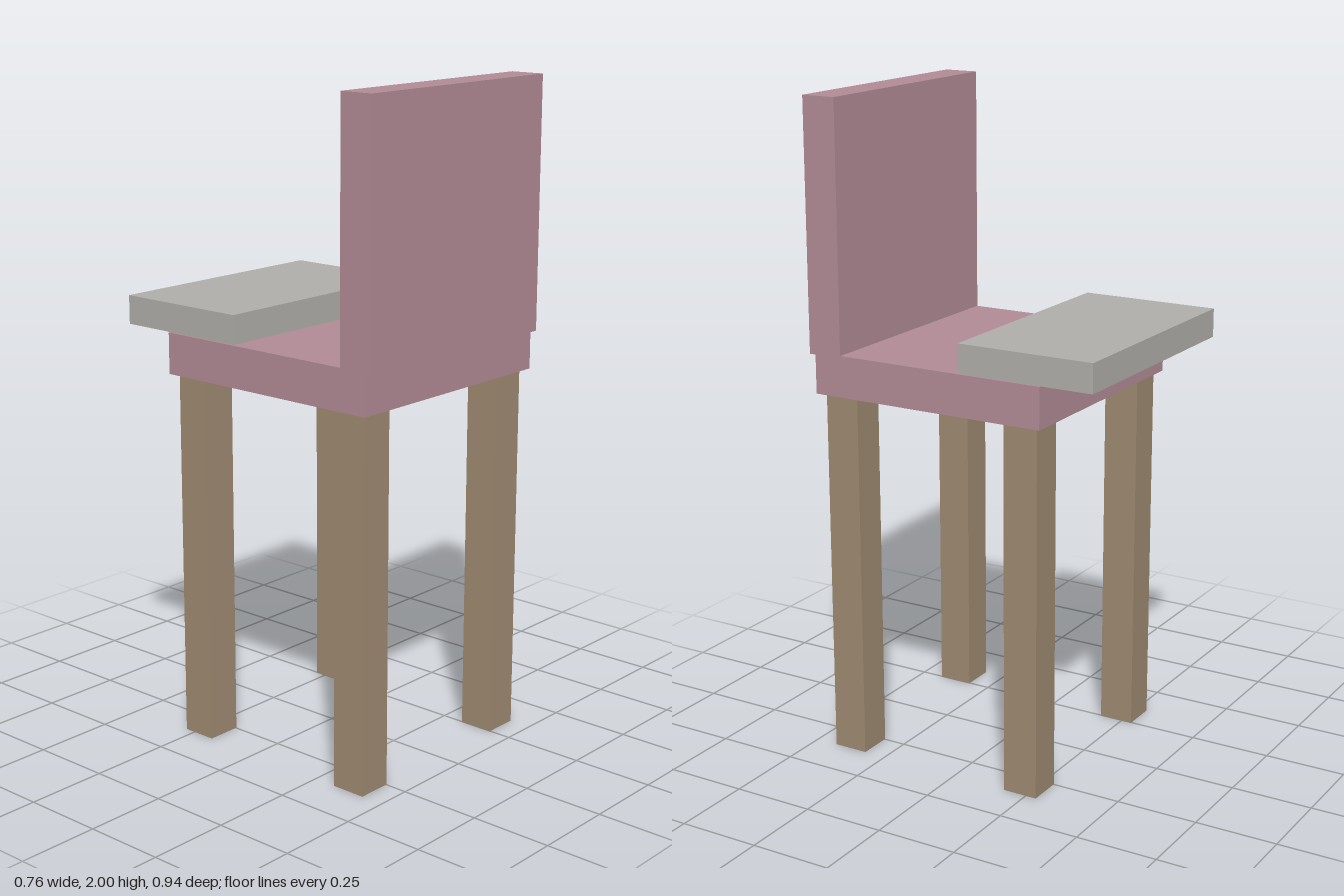
import * as THREE from 'three';

const material = (color) => new THREE.MeshStandardMaterial({ color });

// Box given by its lower and upper limits on each axis
function slab(name, mat, [x0, x1], [y0, y1], [z0, z1]) {
  const mesh = new THREE.Mesh(new THREE.BoxGeometry(x1 - x0, y1 - y0, z1 - z0), mat);
  mesh.position.set((x0 + x1) / 2, (y0 + y1) / 2, (z0 + z1) / 2);
  mesh.name = name;
  return mesh;
}

export function createModel() {
  const model = new THREE.Group();
  model.name = 'chair';
  const pink = material(0xb08a94);
  const wood = material(0x9c8870);
  const grey = material(0xaeada8);
  const width = [-0.378, 0.378];

  // Seat, upright panel and the overhanging tray
  model.add(slab('seat', pink, width, [1.13, 1.255], [-0.304, 0.45]));
  model.add(slab('backrest', pink, width, [1.248, 2], [0.362, 0.47]));
  model.add(slab('tray', grey, width, [1.257, 1.344], [-0.47, -0.04]));

  // Four square legs
  const legs = new THREE.Group();
  legs.name = 'legs';
  const size = 0.108;
  for (const [sideName, x] of [['left', 0.302], ['right', -0.302]]) {
    for (const [endName, z] of [['Front', 0.375], ['Rear', -0.23]]) {
      legs.add(slab(`${sideName}${endName}Leg`, wood,
        [x - size / 2, x + size / 2], [0, 1.13], [z - size / 2, z + size / 2]));
    }
  }
  model.add(legs);
  return model;
}
